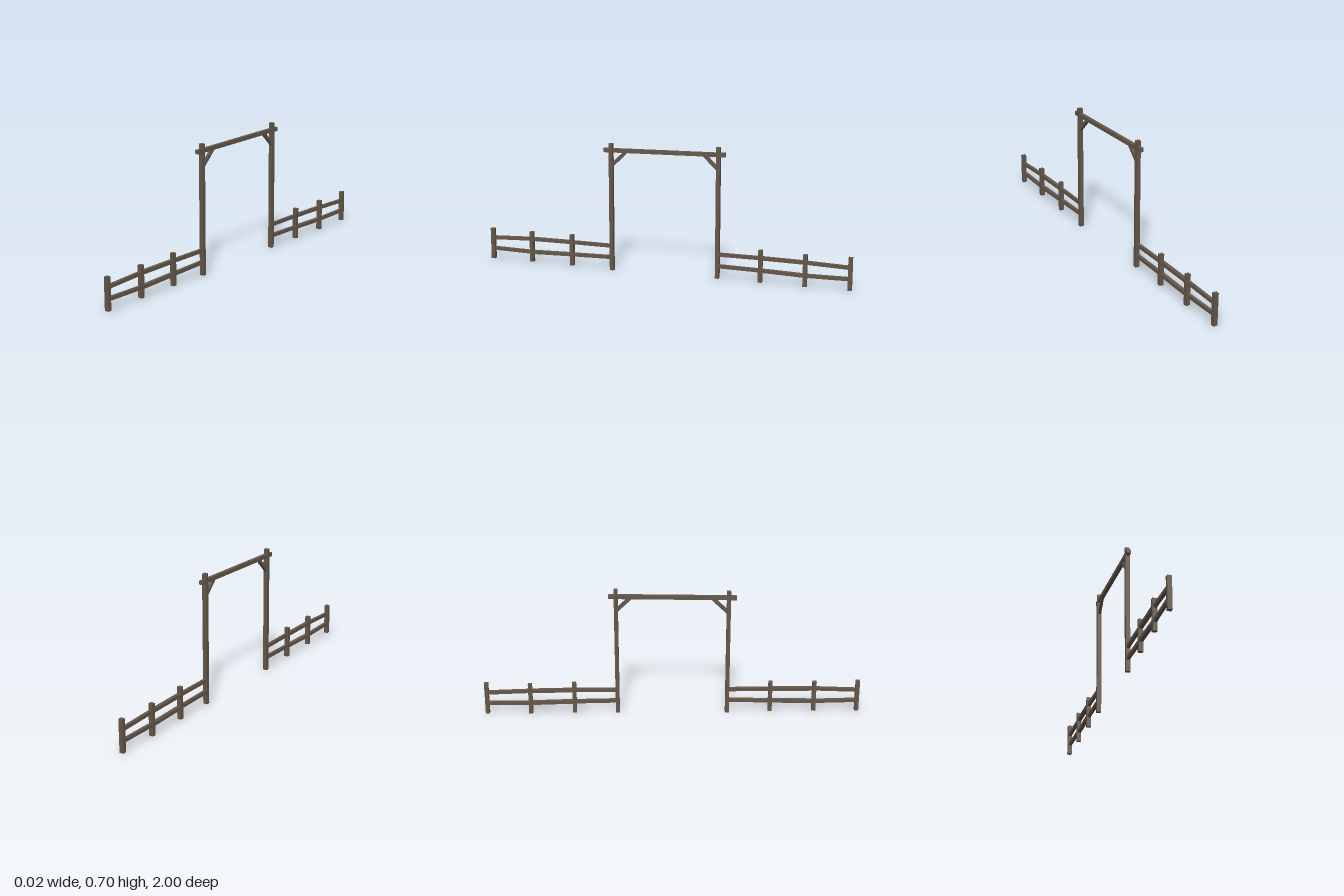
import * as THREE from 'three';

const wood = new THREE.MeshStandardMaterial({ color: 0x65574a });
wood.name = 'weathered wood';

// Square timber running between two [z, y] points; depth is its size along x
function timber(name, [z0, y0], [z1, y1], thick, depth, x = 0) {
  const length = Math.hypot(z1 - z0, y1 - y0);
  const mesh = new THREE.Mesh(new THREE.BoxGeometry(depth, thick, length), wood);
  mesh.name = name;
  mesh.position.set(x, (y0 + y1) / 2, (z0 + z1) / 2);
  mesh.rotation.x = -Math.atan2(y1 - y0, z1 - z0);
  return mesh;
}

export function createModel() {
  const model = new THREE.Group();
  model.name = 'fenceGateway';

  // Each side: post positions and rail heights, from the gate outwards
  const sides = [
    { name: 'front', z: [0.293, 0.523, 0.758, 0.989], foot: [0, 0.007, 0.009, 0.009],
      top: [0.693, 0.178, 0.177, 0.18], upper: [0.134, 0.136, 0.136, 0.127], lower: [0.071, 0.067, 0.062, 0.067] },
    { name: 'back', z: [-0.292, -0.522, -0.757, -0.989], foot: [0.005, 0.004, 0.002, 0.003],
      top: [0.705, 0.177, 0.172, 0.177], upper: [0.134, 0.134, 0.13, 0.122], lower: [0.071, 0.067, 0.06, 0.062] },
  ];
  for (const s of sides) {
    const side = new THREE.Group();
    side.name = s.name + 'Fence';
    // Posts, the first being the tall gate post
    s.z.forEach((z, i) => {
      side.add(timber(i ? 'fencePost' : 'gatePost', [z, s.foot[i]], [z, s.top[i]], 0.021, 0.023));
    });
    // Two slightly sagging rails in each bay
    for (let i = 0; i < 3; i++) {
      const depth = i === 1 ? 0.02 : 0.016;
      for (const rail of ['upper', 'lower']) {
        side.add(timber(rail + 'Rail', [s.z[i], s[rail][i]], [s.z[i + 1], s[rail][i + 1]], 0.019, depth));
      }
    }
    model.add(side);
  }

  // Crossbeam and its corner braces
  model.add(timber('crossbeam', [0.333, 0.656], [-0.33, 0.666], 0.021, 0.02));
  model.add(timber('frontBrace', [0.297, 0.568], [0.207, 0.655], 0.018, 0.015));
  model.add(timber('backBrace', [-0.295, 0.584], [-0.212, 0.664], 0.018, 0.015));
  return model;
}
